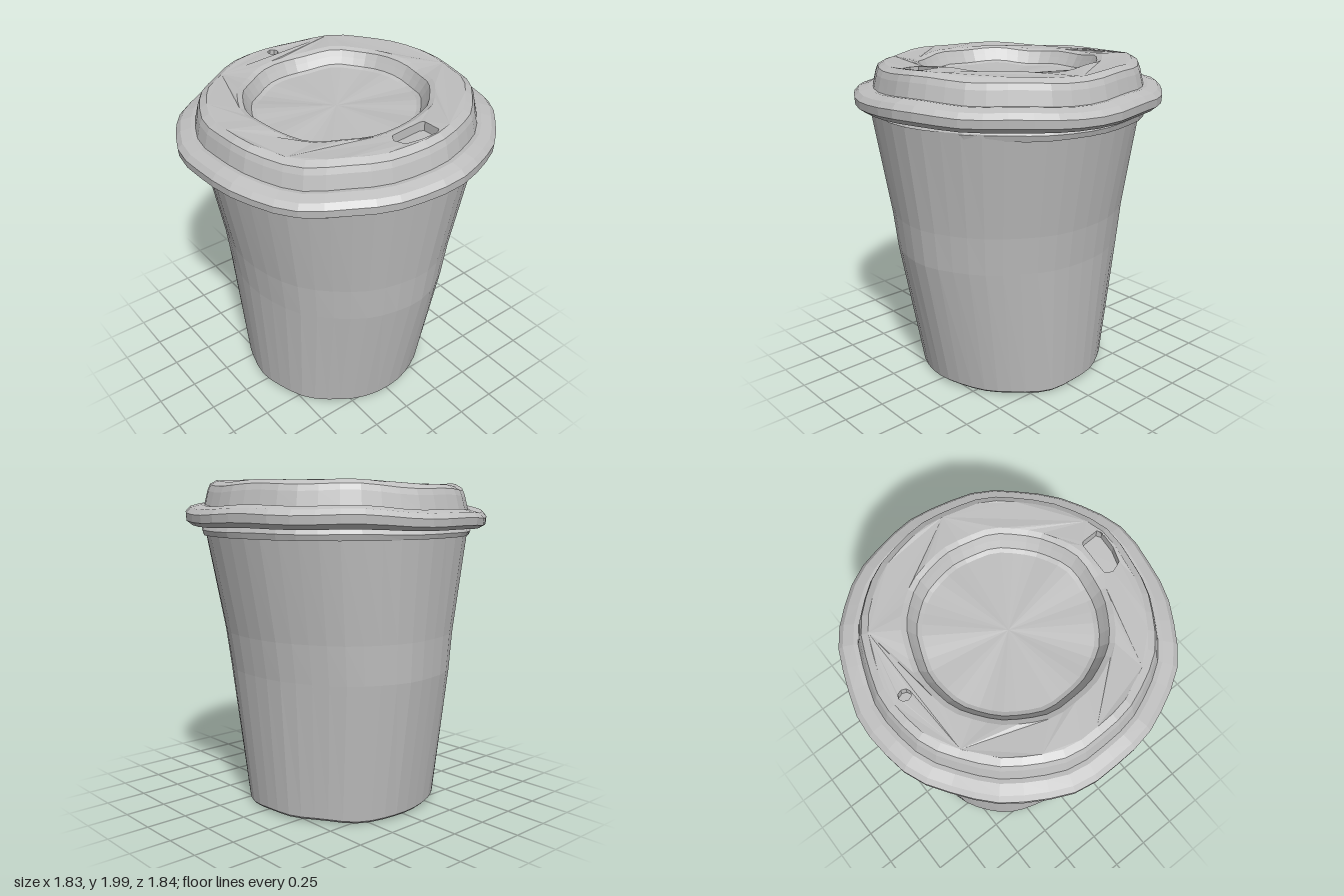
import * as THREE from 'three';

const N = 44;
const paper = new THREE.MeshStandardMaterial({ color: 0xbfbfbf });
paper.name = 'plain grey';

// Piecewise-linear lookup over [key, value] pairs
function lerpTable(t, y) {
  for (let i = 1; i < t.length; i++) {
    if (y <= t[i][0]) {
      const k = Math.max(0, (y - t[i - 1][0]) / (t[i][0] - t[i - 1][0]));
      return t[i - 1][1] + k * (t[i][1] - t[i - 1][1]);
    }
  }
  return t[t.length - 1][1];
}

// Move every vertex by rule(v, angle, radius), then give each facet a flat normal
function facet(geo, rule) {
  const p = geo.attributes.position, v = new THREE.Vector3();
  for (let i = 0; i < p.count; i++) {
    v.fromBufferAttribute(p, i);
    rule(v, Math.atan2(v.x, v.z), Math.hypot(v.x, v.z));
    p.setXYZ(i, v.x, v.y, v.z);
  }
  const flat = geo.index ? geo.toNonIndexed() : geo;
  flat.computeVertexNormals();
  return flat;
}

const lathe = (pts) => new THREE.LatheGeometry(pts.map(([r, y]) => new THREE.Vector2(r, y)), N);

// Cup: slightly oval in the middle and leaning towards the front
const depthScale = [[0, 1], [0.85, 1.11], [1.7, 1.025]];
const lean = [[0, -0.035], [0.85, -0.01], [1.7, 0.015]];
function cupRule(v, a, r) {
  const k = 1 + 0.006 * Math.sin(5 * a + 1) + 0.004 * Math.sin(11 * a);
  const y = v.y;
  v.x *= k;
  v.z = v.z * k * lerpTable(depthScale, y) + lerpTable(lean, y);
  if (y < 0.03 && r > 0.4) v.y += 0.006 * Math.sin(4 * a) + 0.004 * Math.sin(9 * a);
}

// Lid: gently dented, with a wavy top and rim
function lidRule(v, a, r) {
  const k = 1 + 0.007 * Math.sin(6 * a + 0.5) + 0.005 * Math.sin(13 * a);
  const fade = THREE.MathUtils.clamp((v.y - 1.66) / 0.1, 0, 1) * (r > 0.4 ? 1 : 0);
  v.x *= k;
  v.z *= k;
  v.y += fade * (0.013 * Math.sin(a) + 0.006 * Math.cos(a)
    + 0.009 * Math.sin(3 * a + 0.8) + 0.006 * Math.sin(8 * a));
}

// Points of a ring in shape space, matching the lathe segments
function ringPoints(r) {
  return Array.from({ length: N }, (_, i) => {
    const a = (i / N) * Math.PI * 2;
    return new THREE.Vector2(r * Math.sin(a), -r * Math.cos(a));
  });
}

export function createModel() {
  const group = new THREE.Group();
  group.name = 'lidded paper cup';
  const add = (name, geo, rule) => {
    const mesh = new THREE.Mesh(facet(geo, rule), paper);
    mesh.name = name;
    group.add(mesh);
  };

  // Cup wall with a recessed base
  add('cup', lathe([
    [0, 0.07], [0.5, 0.07], [0.505, 0.01], [0.575, 0.01], [0.59, 0.025],
    [0.655, 0.85], [0.685, 1.08], [0.8, 1.7],
  ]), cupRule);

  // Lid skirt, rolled rim and raised shoulder
  add('lidRim', lathe([
    [0.76, 1.67], [0.815, 1.66], [0.825, 1.69], [0.81, 1.72], [0.88, 1.715],
    [0.915, 1.74], [0.918, 1.785], [0.89, 1.815], [0.83, 1.832], [0.805, 1.83],
    [0.785, 1.91], [0.77, 1.945], [0.73, 1.967],
  ]), lidRule);

  // Sunken centre of the lid
  add('lidWell', lathe([
    [0.56, 1.967], [0.53, 1.955], [0.51, 1.92], [0.485, 1.88], [0.46, 1.87], [0, 1.87],
  ]), lidRule);

  // Flat top ring pierced by the drinking hole and the vent
  const ring = new THREE.Shape(ringPoints(0.73));
  ring.holes.push(new THREE.Path(ringPoints(0.56)));
  ring.holes.push(new THREE.Path([
    [-0.11, -0.63], [-0.085, -0.59], [0.1, -0.585], [0.12, -0.6],
    [0.125, -0.7], [0.1, -0.715], [0, -0.715], [-0.085, -0.695],
  ].map(([x, y]) => new THREE.Vector2(x, y))));
  const vent = Array.from({ length: 8 }, (_, i) => new THREE.Vector2(
    0.01 + 0.033 * Math.cos(i * Math.PI / 4), 0.66 + 0.036 * Math.sin(i * Math.PI / 4)));
  ring.holes.push(new THREE.Path(vent));
  const top = new THREE.ExtrudeGeometry(ring, { depth: 0.06, bevelEnabled: false });
  top.rotateX(-Math.PI / 2).translate(0, 1.907, 0);
  add('lidTop', top, lidRule);

  // Floors closing the two holes
  for (const [name, w, d, z] of [['drinkingHoleFloor', 0.28, 0.17, 0.65], ['ventFloor', 0.1, 0.1, -0.66]]) {
    add(name, new THREE.BoxGeometry(w, 0.02, d).translate(0, 1.905, z), lidRule);
  }
  return group;
}
